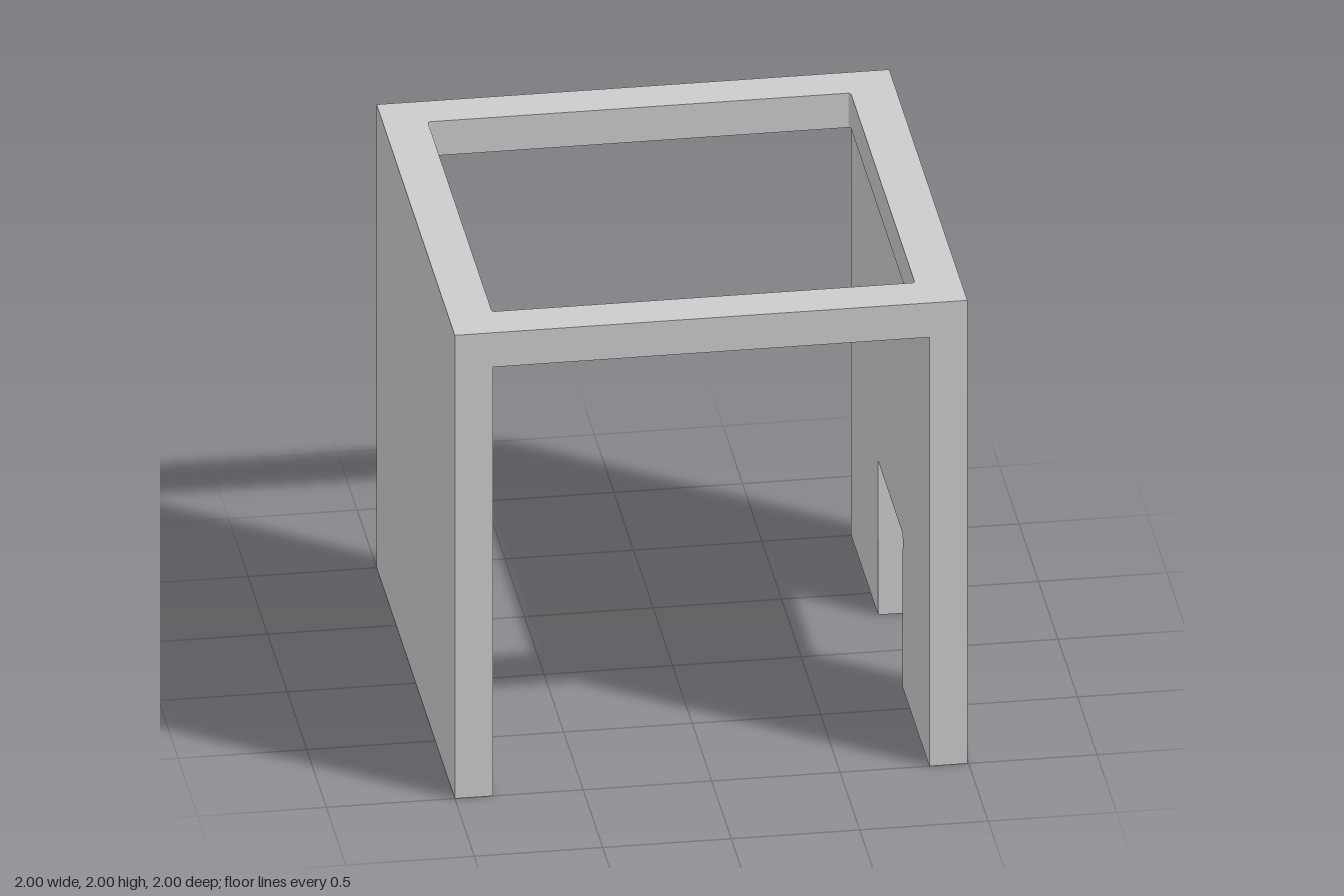
import * as THREE from 'three';

const material = new THREE.MeshStandardMaterial({ color: 0xcccccc });
const LEFT = 0.995, RIGHT = -1, HALF_DEPTH = 1, TOP = 1.995;
const THICK = 0.148, UNDERSIDE = TOP - THICK;

// Adds a closed rectangle with rounded corners to a path
function roundedRect(path, x0, y0, x1, y1, r) {
  path.absarc(x1 - r, y1 - r, r, 0, Math.PI / 2);
  path.absarc(x0 + r, y1 - r, r, Math.PI / 2, Math.PI);
  path.absarc(x0 + r, y0 + r, r, Math.PI, Math.PI * 1.5);
  path.absarc(x1 - r, y0 + r, r, Math.PI * 1.5, Math.PI * 2);
  path.closePath();
  return path;
}

function slab(name, shape) {
  const geometry = new THREE.ExtrudeGeometry(shape, { depth: THICK, bevelEnabled: false, curveSegments: 5 });
  const mesh = new THREE.Mesh(geometry, material);
  mesh.name = name;
  return mesh;
}

// Side wall drawn in the z-y plane, with an optional doorway in its lower edge
function wall(name, outerX, doorway) {
  const shape = new THREE.Shape();
  shape.moveTo(-HALF_DEPTH, 0);
  if (doorway) {
    const foot = 0.31, head = 0.32, height = 0.663, r = 0.022;
    shape.lineTo(-foot, 0);
    shape.lineTo(-head, height - r);
    shape.quadraticCurveTo(-head, height, -head + r, height);
    shape.lineTo(head - r, height);
    shape.quadraticCurveTo(head, height, head, height - r);
    shape.lineTo(foot, 0);
  }
  shape.lineTo(HALF_DEPTH, 0);
  shape.lineTo(HALF_DEPTH, UNDERSIDE);
  shape.lineTo(-HALF_DEPTH, UNDERSIDE);
  shape.closePath();
  const mesh = slab(name, shape);
  mesh.geometry.rotateY(-Math.PI / 2); // thickness now runs towards -x
  mesh.geometry.translate(outerX, 0, 0);
  return mesh;
}

// Top frame drawn in the x-z plane, with a large opening
function topFrame() {
  const shape = new THREE.Shape();
  shape.moveTo(RIGHT, -HALF_DEPTH);
  shape.lineTo(LEFT, -HALF_DEPTH);
  shape.lineTo(LEFT, HALF_DEPTH);
  shape.lineTo(RIGHT, HALF_DEPTH);
  shape.closePath();
  shape.holes.push(roundedRect(new THREE.Path(), -0.828, -0.823, 0.818, 0.82, 0.012));
  const mesh = slab('topFrame', shape);
  mesh.geometry.rotateX(Math.PI / 2); // thickness now runs downwards
  mesh.geometry.translate(0, TOP, 0);
  return mesh;
}

export function createModel() {
  const group = new THREE.Group();
  group.name = 'openFrameTable';
  group.add(
    topFrame(),
    wall('leftWallWithDoorway', LEFT, true),
    wall('rightWall', RIGHT + THICK, false)
  );
  return group;
}
